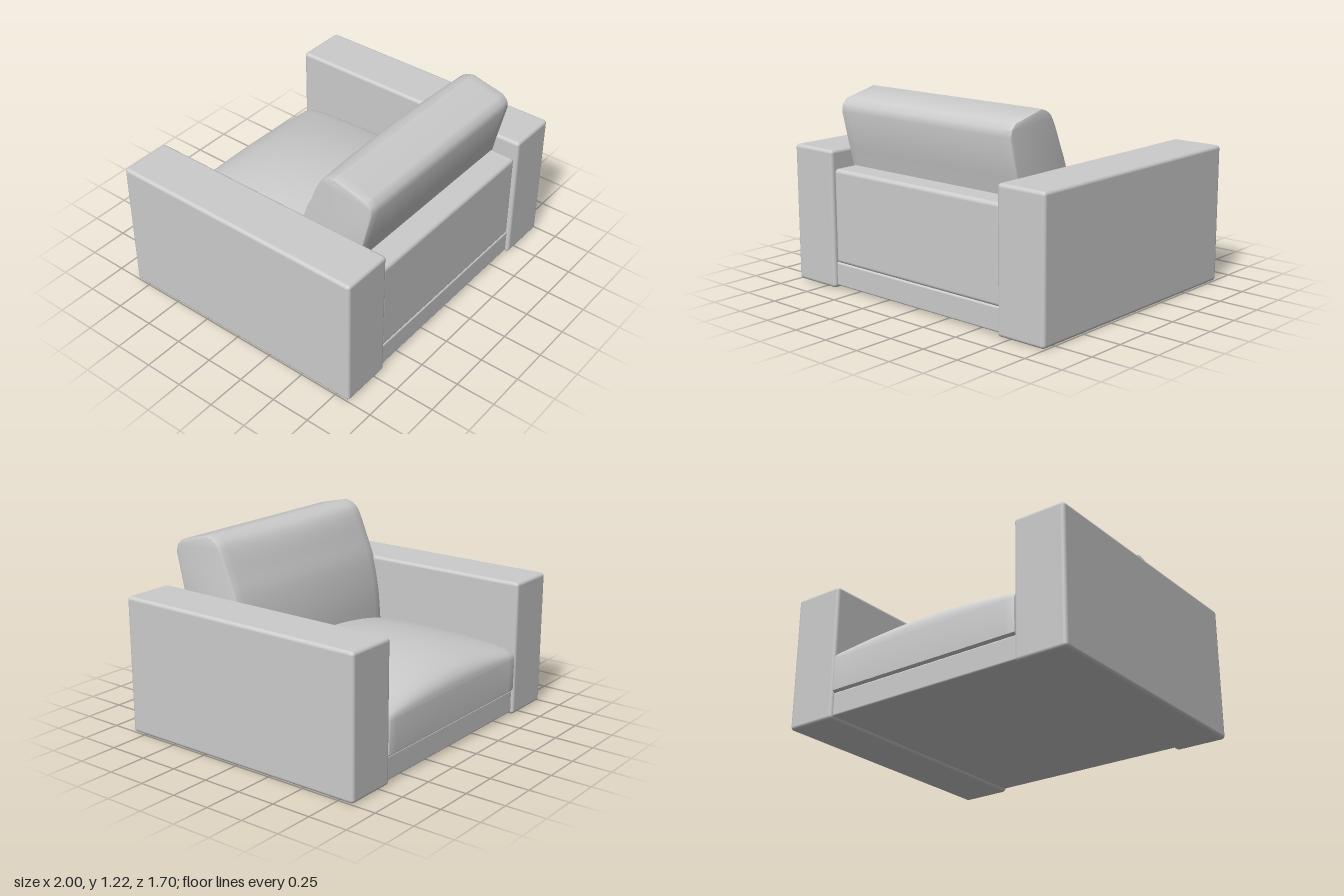
import * as THREE from 'three';
import { RoundedBoxGeometry } from 'three/addons/geometries/RoundedBoxGeometry.js';
import { toCreasedNormals } from 'three/addons/utils/BufferGeometryUtils.js';

const material = new THREE.MeshStandardMaterial({ color: 0xcccccc });

function addMesh(group, name, geometry) {
  const mesh = new THREE.Mesh(geometry, material);
  mesh.name = name;
  group.add(mesh);
  return mesh;
}

// Softly rounded block given by its min and max corners
function block(group, name, [x0, y0, z0], [x1, y1, z1], radius) {
  const mesh = addMesh(group, name, new RoundedBoxGeometry(x1 - x0, y1 - y0, z1 - z0, 3, radius));
  mesh.position.set((x0 + x1) / 2, (y0 + y1) / 2, (z0 + z1) / 2);
}

// Cushion: a [z, y] side profile swept across x, then padded out by a rule.
// The rule gets each vertex and a swell factor (1 mid-width, 0 at the sides).
function cushion(group, name, halfWidth, profile, rule) {
  const bevel = 0.012;
  const shape = new THREE.Shape(profile.map(([z, y]) => new THREE.Vector2(-z, y)));
  const geometry = new THREE.ExtrudeGeometry(shape, {
    depth: 2 * (halfWidth - bevel), steps: 24,
    bevelEnabled: true, bevelThickness: bevel, bevelSize: bevel, bevelOffset: -bevel, bevelSegments: 2,
  });
  geometry.translate(0, 0, bevel - halfWidth).rotateY(Math.PI / 2);
  const pos = geometry.attributes.position;
  const v = new THREE.Vector3();
  for (let i = 0; i < pos.count; i++) {
    v.fromBufferAttribute(pos, i);
    rule(v, 1 - Math.min(1, (v.x / halfWidth) ** 2));
    pos.setXYZ(i, v.x, v.y, v.z);
  }
  addMesh(group, name, toCreasedNormals(geometry, 0.7));
}

// Smooth curve through [z, y] points
function smooth(points, count) {
  const curve = new THREE.SplineCurve(points.map(([z, y]) => new THREE.Vector2(z, y)));
  return curve.getPoints(count).map((p) => [p.x, p.y]);
}

export function createModel() {
  const group = new THREE.Group();
  group.name = 'armchair';

  // Arms
  block(group, 'armLeft', [0.665, 0, -0.85], [1, 0.865, 0.845], 0.022);
  block(group, 'armRight', [-1, 0, -0.85], [-0.665, 0.865, 0.845], 0.022);

  // Plinth under the seat and the upright panel behind it
  block(group, 'base', [-0.67, 0.015, -0.835], [0.67, 0.165, 0.825], 0.012);
  block(group, 'backPanel', [-0.67, 0.16, 0.55], [0.67, 0.75, 0.825], 0.025);

  // Seat cushion, domed on top
  const seatTop = smooth([[-0.85, 0.38], [-0.835, 0.44], [-0.78, 0.49], [-0.65, 0.535],
    [-0.4, 0.568], [-0.1, 0.57], [0.2, 0.53], [0.56, 0.48]], 28);
  cushion(group, 'seatCushion', 0.668,
    [[0.56, 0.162], [-0.835, 0.162], [-0.848, 0.175], ...seatTop],
    (v, swell) => {
      if (v.y > 0.38) v.y = 0.38 + (v.y - 0.38) * (0.45 + 0.55 * swell);
    });

  // Leaning back cushion, bulging toward the sitter
  const backFace = smooth([[0.195, 0.44], [0.215, 0.65], [0.26, 0.86], [0.315, 1.0],
    [0.38, 1.15], [0.425, 1.2], [0.485, 1.222]], 20);
  cushion(group, 'backCushion', 0.678,
    [[0.6, 0.44], ...backFace, [0.7, 1.17], [0.735, 1.135], [0.742, 1.09], [0.688, 0.86]],
    (v, swell) => {
      v.z -= 0.03 * swell * THREE.MathUtils.clamp((0.48 - v.z) / 0.12, 0, 1);
    });

  return group;
}
